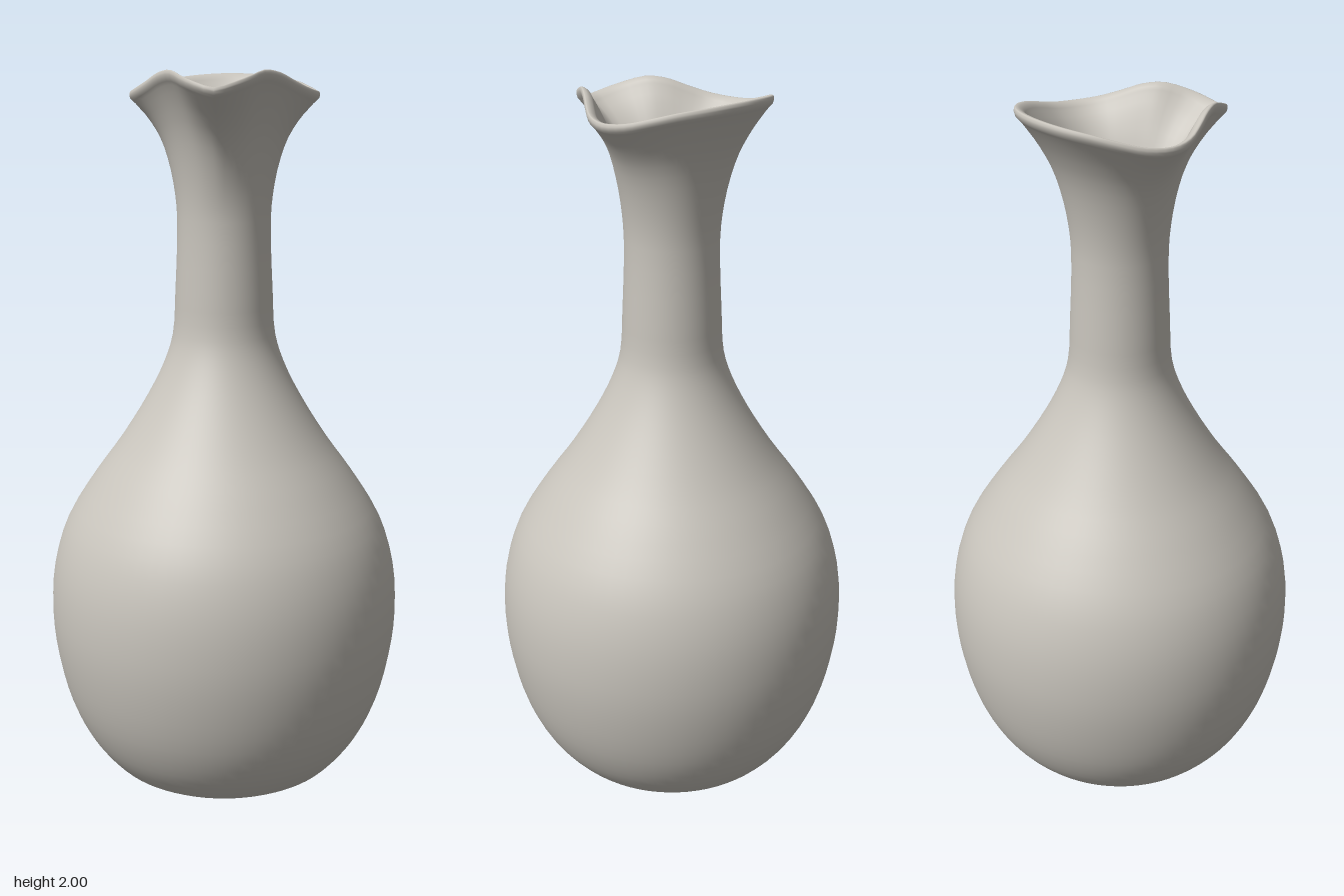
import * as THREE from 'three';
import { mergeVertices } from 'three/addons/utils/BufferGeometryUtils.js';

// Rim radius and rim height every 15 degrees, from the spout (front) round to the back
const RIM_RADIUS = [0.312, 0.286, 0.246, 0.23, 0.232, 0.247, 0.26, 0.26, 0.258, 0.26, 0.265, 0.27, 0.273];
const RIM_HEIGHT = [1.95, 1.973, 1.995, 1.99, 1.97, 1.952, 1.945, 1.95, 1.965, 1.98, 1.99, 1.997, 2.0];
const MEAN_RADIUS = 0.25;
const MEAN_HEIGHT = 1.965;

// Wall profile: radius, height, and how strongly the rim shape pulls on it
const PROFILE = [
  // underside, slightly hollow
  [0, 0.02, 0], [0.2, 0.016, 0], [0.29, 0.004, 0], [0.325, 0.004, 0],
  // outer body
  [0.365, 0.04, 0], [0.415, 0.11, 0], [0.46, 0.21, 0], [0.492, 0.34, 0], [0.505, 0.47, 0],
  [0.495, 0.61, 0], [0.455, 0.74, 0], [0.375, 0.87, 0], [0.295, 0.98, 0], [0.22, 1.1, 0],
  [0.17, 1.2, 0], [0.145, 1.28, 0],
  // outer neck and flare
  [0.137, 1.4, 0], [0.13, 1.6, 0], [0.139, 1.7, 0.08], [0.162, 1.8, 0.25],
  [0.196, 1.875, 0.55], [0.234, 1.93, 0.9],
  // rounded lip
  [0.25, 1.953, 1], [0.247, 1.964, 1], [0.236, 1.962, 1],
  // inner flare and neck
  [0.217, 1.942, 0.88], [0.18, 1.89, 0.55], [0.142, 1.81, 0.25], [0.115, 1.71, 0.08],
  [0.106, 1.6, 0], [0.108, 1.4, 0], [0.118, 1.28, 0],
  // inner body and floor
  [0.19, 1.09, 0], [0.345, 0.86, 0], [0.465, 0.6, 0], [0.475, 0.45, 0], [0.43, 0.21, 0],
  [0.34, 0.06, 0], [0.2, 0.045, 0], [0, 0.045, 0],
];

function rimCurve(values) {
  const curve = new THREE.SplineCurve(values.map((v, i) => new THREE.Vector2(i, v)));
  return (t) => curve.getPoint(t).y;
}

function createVaseGeometry() {
  const curve = new THREE.CatmullRomCurve3(PROFILE.map((p) => new THREE.Vector3(...p)));
  const points = curve.getPoints((PROFILE.length - 1) * 3);
  const lathe = new THREE.LatheGeometry(points.map((p) => new THREE.Vector2(Math.max(p.x, 0), p.y)), 72);

  // Pull the lip into a pointed spout with a wavy edge
  const radiusAt = rimCurve(RIM_RADIUS);
  const heightAt = rimCurve(RIM_HEIGHT);
  const pos = lathe.attributes.position;
  for (let i = 0; i < pos.count; i++) {
    const pull = points[i % points.length].z;
    if (pull <= 0) continue;
    const x = pos.getX(i), z = pos.getZ(i);
    const angle = Math.abs(Math.atan2(x, z));
    const t = Math.min(angle / Math.PI, 1);
    const r = Math.hypot(x, z);
    const scale = (r + pull * (radiusAt(t) - MEAN_RADIUS)) / r;
    pos.setXYZ(i, x * scale, pos.getY(i) + pull * (heightAt(t) - MEAN_HEIGHT), z * scale);
  }

  // Weld the seam so the shading is continuous
  lathe.deleteAttribute('uv');
  lathe.deleteAttribute('normal');
  const welded = mergeVertices(lathe, 1e-5);
  welded.computeVertexNormals();
  return welded;
}

export function createModel() {
  const ceramic = new THREE.MeshStandardMaterial({ color: 0xc8c4bc });
  ceramic.name = 'warm grey ceramic';

  const vase = new THREE.Mesh(createVaseGeometry(), ceramic);
  vase.name = 'vase';

  const group = new THREE.Group();
  group.name = 'spoutedVase';
  group.add(vase);
  return group;
}
